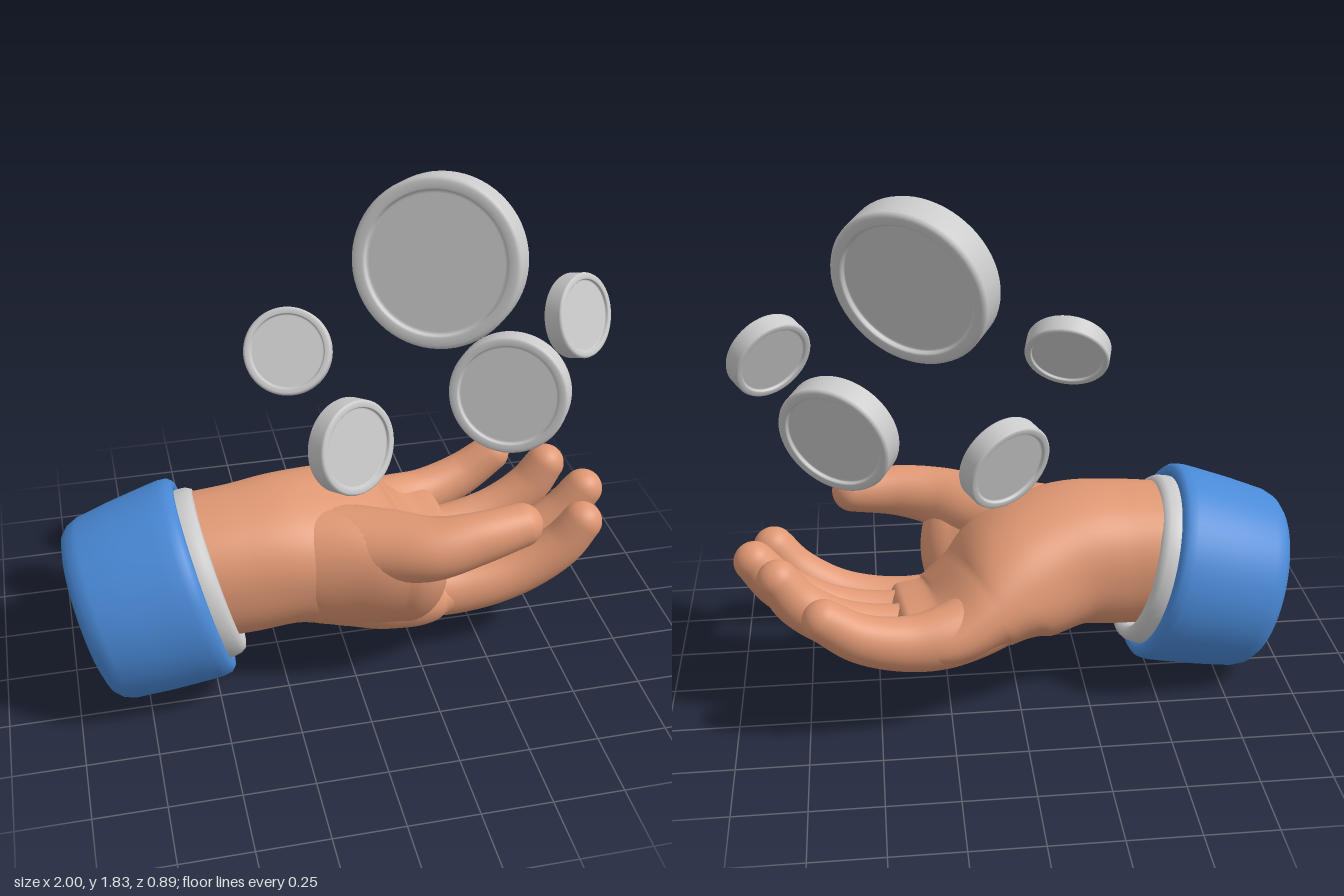
import * as THREE from 'three';

const skin = new THREE.MeshStandardMaterial({ color: 0xe09874 });
const blue = new THREE.MeshStandardMaterial({ color: 0x4a8ad8 });
const grey = new THREE.MeshStandardMaterial({ color: 0xcccccc });

function addMesh(parent, name, geometry, material) {
  const mesh = new THREE.Mesh(geometry, material);
  mesh.name = name;
  parent.add(mesh);
  return mesh;
}

// Smooth limb through stations [x, y, z, side radius, up radius, tilt], ending in a dome.
// A power below 1 makes the cross-section squarer than an ellipse.
function limb(stations, { dome = 1, power = 1, steps = 40, sides = 36 } = {}) {
  const path = new THREE.CatmullRomCurve3(stations.map(s => new THREE.Vector3(s[0], s[1], s[2])));
  const sizes = new THREE.CatmullRomCurve3(
    stations.map(s => new THREE.Vector3(s[3], s[4], s[5] || 0)), false, 'catmullrom', 0.5);
  const bulge = v => Math.sign(v) * Math.abs(v) ** power;
  const positions = [], index = [];
  const domeSteps = 12, rings = steps + domeSteps;
  for (let i = 0; i <= rings; i++) {
    const u = Math.min(1, i / steps);
    const angle = Math.max(0, i - steps) / domeSteps * Math.PI / 2;
    const centre = path.getPoint(u), t = path.getTangent(u), size = sizes.getPoint(u);
    const side = new THREE.Vector3(0, 0, 1).addScaledVector(t, -t.z).normalize();
    side.applyAxisAngle(t, size.z);
    const up = side.clone().cross(t);
    centre.addScaledVector(t, Math.sin(angle) * Math.min(size.x, size.y) * dome);
    const shrink = Math.max(Math.cos(angle), 0.002);
    for (let j = 0; j < sides; j++) {
      const a = j / sides * Math.PI * 2;
      const p = centre.clone()
        .addScaledVector(side, bulge(Math.cos(a)) * size.x * shrink)
        .addScaledVector(up, bulge(Math.sin(a)) * size.y * shrink);
      positions.push(p.x, p.y, p.z);
      if (i < rings) {
        const k = (j + 1) % sides, r = i * sides, n = r + sides;
        index.push(r + j, n + j, r + k, n + j, n + k, r + k);
      }
    }
  }
  const geometry = new THREE.BufferGeometry();
  geometry.setAttribute('position', new THREE.Float32BufferAttribute(positions, 3));
  geometry.setIndex(index);
  geometry.computeVertexNormals();
  return geometry;
}

function lathe(profile) {
  return new THREE.LatheGeometry(profile.map(([r, y]) => new THREE.Vector2(r, y)), 64);
}

function createHand() {
  const hand = new THREE.Group();
  hand.name = 'hand';

  // Wrist and palm, flattening towards the knuckles
  addMesh(hand, 'palm', limb([
    [-0.56, 0.455, 0.06, 0.25, 0.25, 0],
    [-0.38, 0.465, 0.06, 0.26, 0.255, 0],
    [-0.2, 0.475, 0.045, 0.28, 0.25, 0.08],
    [0, 0.425, 0.005, 0.325, 0.24, 0.14],
    [0.14, 0.355, -0.04, 0.342, 0.18, 0.2],
    [0.28, 0.303, -0.09, 0.335, 0.13, 0.2],
    [0.4, 0.302, -0.1, 0.315, 0.105, 0.2],
  ], { dome: 0.5, power: 0.88, steps: 48, sides: 64 }), skin);

  // Fleshy base of the thumb, reaching down the side of the palm
  addMesh(hand, 'thumbBase', limb([
    [-0.36, 0.47, 0.08, 0.16, 0.2, 0.1],
    [-0.1, 0.45, 0.145, 0.185, 0.242, 0.25],
    [0.08, 0.43, 0.21, 0.157, 0.25, 0.4],
    [0.19, 0.42, 0.235, 0.138, 0.228, 0.42],
  ], { sides: 48 }), skin);

  // Thumb
  addMesh(hand, 'thumb', limb([
    [-0.25, 0.54, 0.08, 0.12, 0.12],
    [-0.08, 0.555, 0.15, 0.14, 0.13],
    [0.1, 0.568, 0.24, 0.14, 0.125],
    [0.25, 0.59, 0.32, 0.118, 0.11],
    [0.4, 0.617, 0.335, 0.09, 0.096],
    [0.57, 0.635, 0.312, 0.078, 0.078],
  ]), skin);

  // Four fingers curling upwards
  const fingers = {
    indexFinger: [[0.05, 0.35, 0.08, 0.07, 0.09], [0.28, 0.262, 0.115, 0.098, 0.105],
      [0.45, 0.255, 0.13, 0.09, 0.098], [0.64, 0.302, 0.14, 0.084, 0.09],
      [0.79, 0.4, 0.15, 0.08, 0.083], [0.865, 0.5, 0.155, 0.073, 0.074]],
    middleFinger: [[0.05, 0.35, 0.01, 0.07, 0.09], [0.28, 0.285, -0.005, 0.09, 0.105],
      [0.48, 0.275, -0.01, 0.088, 0.1], [0.69, 0.33, -0.01, 0.084, 0.09],
      [0.84, 0.425, -0.01, 0.079, 0.083], [0.925, 0.53, -0.008, 0.072, 0.073]],
    ringFinger: [[0.05, 0.36, -0.09, 0.07, 0.09], [0.28, 0.31, -0.135, 0.09, 0.102],
      [0.46, 0.308, -0.165, 0.088, 0.1], [0.64, 0.36, -0.178, 0.084, 0.09],
      [0.77, 0.45, -0.182, 0.079, 0.083], [0.835, 0.545, -0.182, 0.072, 0.073]],
    littleFinger: [[-0.05, 0.42, -0.14, 0.1, 0.12], [0.12, 0.385, -0.235, 0.115, 0.125],
      [0.27, 0.36, -0.307, 0.105, 0.112], [0.4, 0.362, -0.342, 0.09, 0.098],
      [0.56, 0.41, -0.37, 0.08, 0.085], [0.68, 0.49, -0.375, 0.072, 0.073]],
  };
  for (const [name, stations] of Object.entries(fingers)) {
    addMesh(hand, name, limb(stations), skin);
  }
  return hand;
}

// Sleeve and shirt cuff, turned around the forearm axis
function createSleeve() {
  const sleeve = new THREE.Group();
  sleeve.name = 'sleeve';
  addMesh(sleeve, 'jacketSleeve', lathe([
    [0, -0.437], [0.2, -0.437], [0.262, -0.435], [0.298, -0.424], [0.322, -0.4], [0.337, -0.36],
    [0.353, -0.23], [0.364, -0.1], [0.367, -0.05], [0.363, -0.018], [0.349, -0.003],
    [0.332, 0], [0.316, -0.005], [0.31, -0.02], [0.308, -0.08], [0.308, -0.15], [0, -0.15],
  ]), blue);
  addMesh(sleeve, 'shirtCuff', lathe([
    [0.305, -0.14], [0.312, -0.1], [0.314, 0.005], [0.31, 0.035], [0.3, 0.052], [0.284, 0.058],
    [0.267, 0.052], [0.256, 0.035], [0.25, 0], [0.25, -0.14],
  ]), grey);
  sleeve.position.set(-0.515, 0.42, 0.065);
  sleeve.rotation.z = -THREE.MathUtils.degToRad(75);
  return sleeve;
}

// Coin with a rounded raised rim and recessed plain faces
function coinGeometry(radius, thickness) {
  const h = thickness / 2, b = radius * 0.04, inner = radius * 0.82, d = h - radius * 0.07;
  const half = [
    [0, d], [inner * 0.97, d], [inner, d], [inner + b * 0.3, d + 0.3 * b], [inner + b * 0.5, h - b * 0.4],
    [inner + b, h], [radius - b * 1.4, h], [radius - b * 0.45, h - b * 0.4], [radius, h - b * 1.4],
  ];
  return lathe([...half.map(([r, y]) => [r, -y]), ...half.slice().reverse()]);
}

export function createModel() {
  const model = new THREE.Group();
  model.name = 'handWithCoins';
  model.add(createHand(), createSleeve());

  // Falling coins: centre, facing direction, radius, thickness
  const coins = [
    ['largeCoin', [0.328, 1.535, 0.015], [-0.49, 0.24, 0.84], 0.288, 0.135],
    ['mediumCoin', [0.605, 0.997, 0.015], [-0.47, 0.23, 0.85], 0.212, 0.102],
    ['lowCoin', [0.03, 0.855, 0.025], [0.5, 0.25, 0.83], 0.171, 0.083],
    ['leftCoin', [-0.19, 1.265, 0.035], [-0.25, 0.5, 0.83], 0.147, 0.072],
    ['rightCoin', [0.825, 1.287, 0.035], [0.55, 0.33, 0.77], 0.147, 0.072],
  ];
  const up = new THREE.Vector3(0, 1, 0);
  for (const [name, centre, facing, radius, thickness] of coins) {
    const coin = addMesh(model, name, coinGeometry(radius, thickness), grey);
    coin.position.set(...centre);
    coin.quaternion.setFromUnitVectors(up, new THREE.Vector3(...facing).normalize());
  }
  return model;
}
